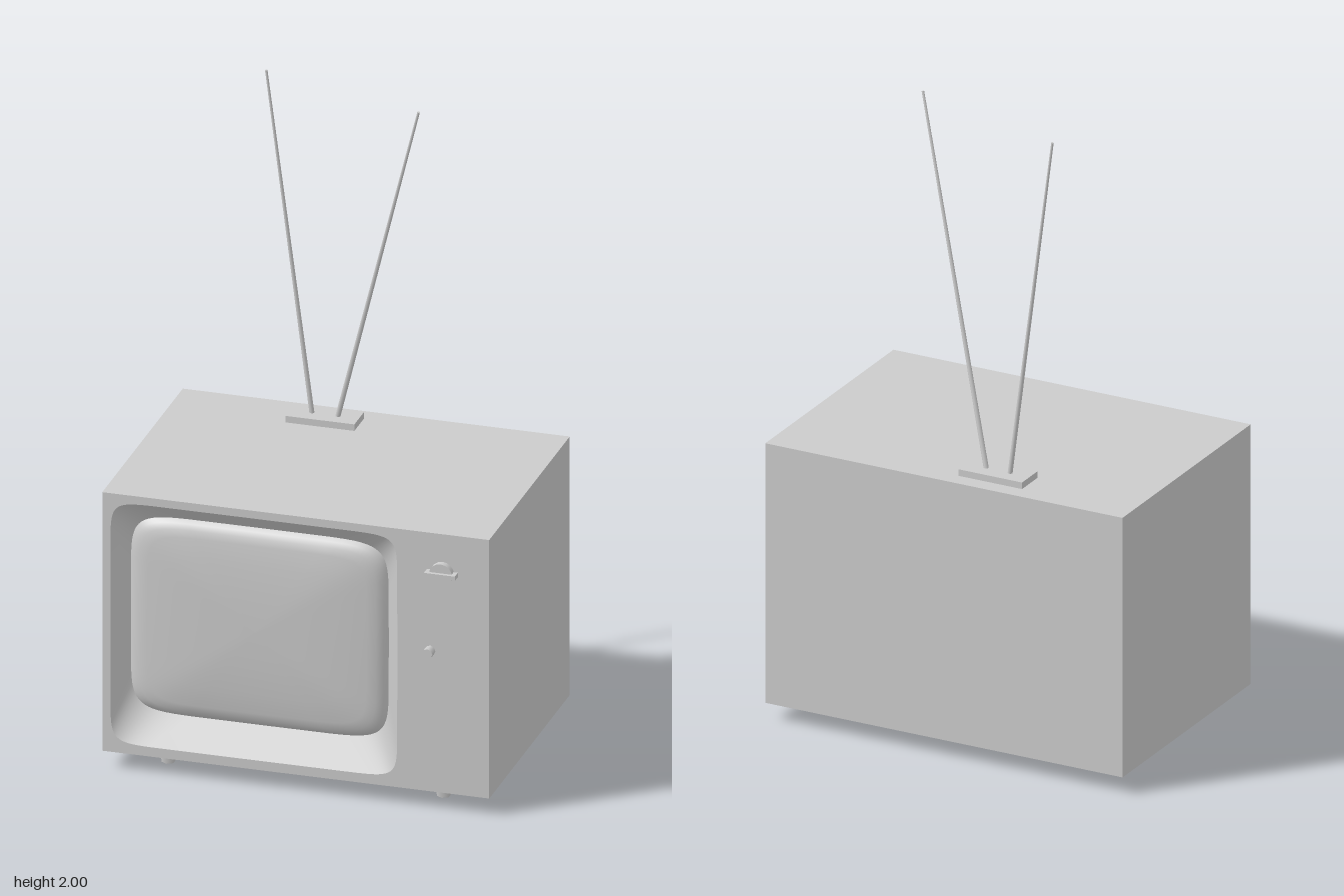
import * as THREE from 'three';

const SEGMENTS = 64;
const material = new THREE.MeshStandardMaterial({ color: 0xcccccc });

function add(parent, name, geometry, x = 0, y = 0, z = 0) {
  const mesh = new THREE.Mesh(geometry, material);
  mesh.name = name;
  mesh.position.set(x, y, z);
  parent.add(mesh);
  return mesh;
}

// Soft-cornered rectangle; a larger power gives tighter corners
function ring({ cx, cy, w, h, power }) {
  const points = [];
  const bend = (v) => Math.sign(v) * Math.pow(Math.abs(v), 2 / power);
  for (let i = 0; i < SEGMENTS; i++) {
    const a = (i / SEGMENTS) * Math.PI * 2;
    points.push(new THREE.Vector2(cx + w * bend(Math.cos(a)), cy + h * bend(Math.sin(a))));
  }
  return points;
}

// Skin between successive rings, ordered from outside to inside, facing +z
function loft(sections) {
  const positions = [];
  const indices = [];
  sections.forEach((s) => ring(s).forEach((p) => positions.push(p.x, p.y, s.z)));
  for (let r = 0; r < sections.length - 1; r++) {
    for (let i = 0; i < SEGMENTS; i++) {
      const a = r * SEGMENTS + i;
      const b = r * SEGMENTS + ((i + 1) % SEGMENTS);
      indices.push(a, b, a + SEGMENTS, b, b + SEGMENTS, a + SEGMENTS);
    }
  }
  const geometry = new THREE.BufferGeometry();
  geometry.setAttribute('position', new THREE.Float32BufferAttribute(positions, 3));
  geometry.setIndex(indices);
  geometry.computeVertexNormals();
  return geometry;
}

// Tapered round rod between two points
function rod(parent, name, from, to, r0, r1) {
  const dir = to.clone().sub(from);
  const mesh = add(parent, name, new THREE.CylinderGeometry(r1, r0, dir.length(), 8));
  mesh.position.copy(from).add(to).multiplyScalar(0.5);
  mesh.quaternion.setFromUnitVectors(new THREE.Vector3(0, 1, 0), dir.normalize());
}

export function createModel() {
  const model = new THREE.Group();
  model.name = 'television';

  const bottom = 0.055, top = 0.89, back = -0.42, front = 0.385, frameBack = 0.3;
  const opening = { cx: -0.13, cy: 0.475, w: 0.445, h: 0.39, power: 14, z: front };
  const rim = { cx: -0.13, cy: 0.492, w: 0.4, h: 0.318, power: 8, z: 0.325 };

  // Cabinet body and front frame with the screen opening
  add(model, 'cabinet', new THREE.BoxGeometry(1.2, top - bottom, frameBack - back),
    0, (top + bottom) / 2, (frameBack + back) / 2);
  const face = new THREE.Shape([
    new THREE.Vector2(-0.6, bottom), new THREE.Vector2(0.6, bottom),
    new THREE.Vector2(0.6, top), new THREE.Vector2(-0.6, top),
  ]);
  face.holes.push(new THREE.Path(ring(opening)));
  add(model, 'frontFrame',
    new THREE.ExtrudeGeometry(face, { depth: front - frameBack, bevelEnabled: false }),
    0, 0, frameBack);

  // Sloping recess and domed screen
  add(model, 'screenBezel', loft([opening, rim]));
  const dome = [[1, 0], [0.97, 0.014], [0.92, 0.024], [0.85, 0.03], [0.65, 0.038],
    [0.4, 0.043], [0.2, 0.045], [0, 0.046]];
  add(model, 'screen', loft(dome.map(([scale, rise]) => ({
    ...rim, w: rim.w * scale, h: rim.h * scale, z: rim.z + rise,
  }))));

  // Channel knob with grip bar, and small volume knob
  const channel = new THREE.Group();
  channel.name = 'channelKnob';
  channel.position.set(0.455, 0.765, front);
  model.add(channel);
  add(channel, 'dial', new THREE.CylinderGeometry(0.036, 0.036, 0.02, 16), 0, 0, 0.01)
    .rotation.x = Math.PI / 2;
  add(channel, 'grip', new THREE.BoxGeometry(0.096, 0.014, 0.031), 0, 0, 0.0155);
  add(model, 'volumeKnob', new THREE.CylinderGeometry(0.016, 0.016, 0.03, 8), 0.417, 0.51, front + 0.015)
    .rotation.x = Math.PI / 2;

  // Tapered feet
  for (const x of [-0.427, 0.427]) {
    for (const z of [-0.287, 0.28]) {
      add(model, 'foot', new THREE.CylinderGeometry(0.028, 0.021, bottom, 6), x, bottom / 2, z);
    }
  }

  // Aerial base and two rods
  add(model, 'aerialBase', new THREE.BoxGeometry(0.213, 0.021, 0.097), -0.128, top + 0.0105, -0.319);
  rod(model, 'aerialRod', new THREE.Vector3(-0.167, 0.9, -0.319), new THREE.Vector3(-0.309, 2, -0.316), 0.008, 0.004);
  rod(model, 'aerialRod', new THREE.Vector3(-0.09, 0.9, -0.319), new THREE.Vector3(0.215, 2, -0.15), 0.008, 0.004);

  return model;
}
